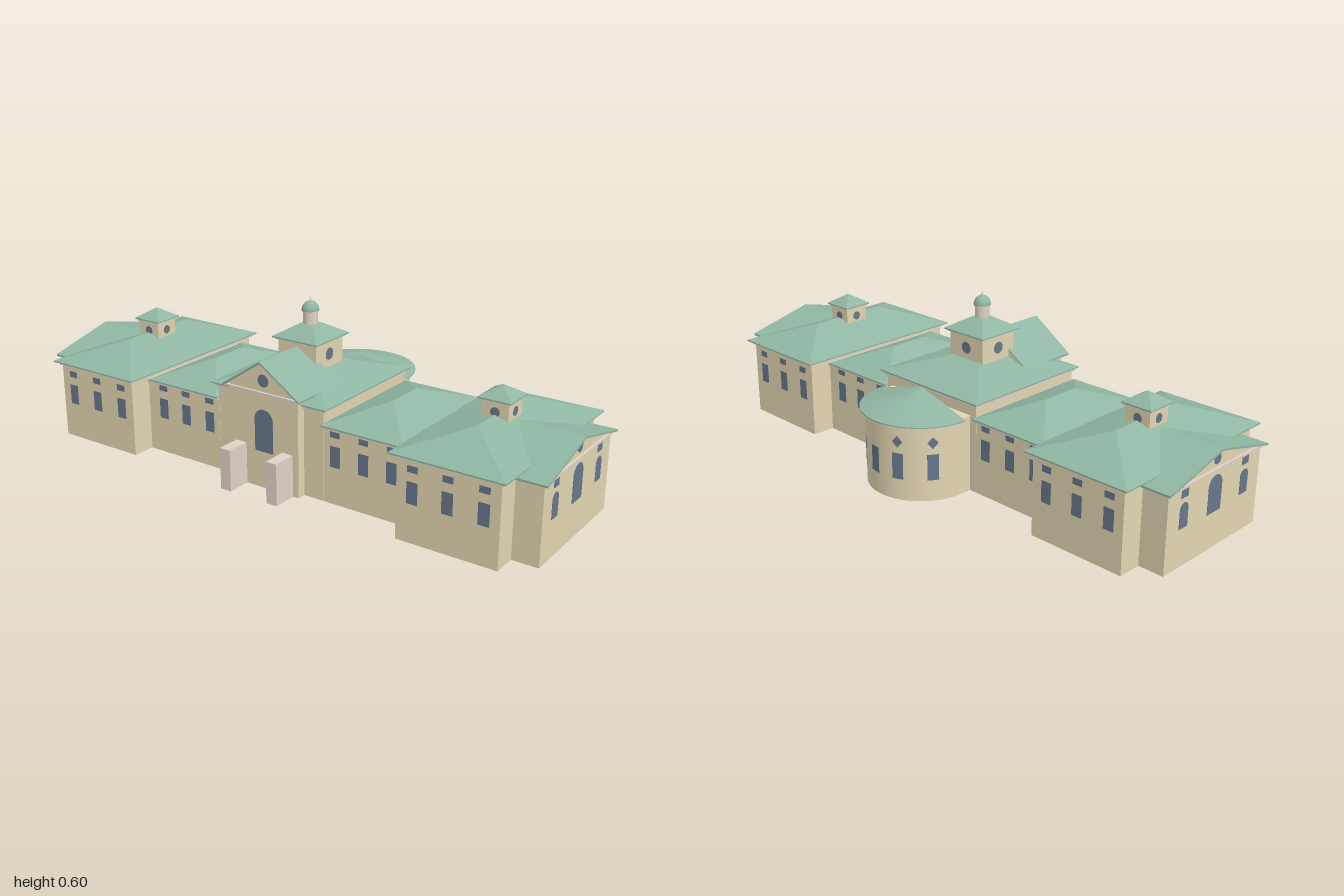
import * as THREE from 'three';

const mat = (name, color, side = THREE.FrontSide) => {
  const m = new THREE.MeshStandardMaterial({ color, side });
  m.name = name;
  return m;
};
const WALL = mat('sandstone wall', 0xe2d5b1, THREE.DoubleSide);
const STONE = mat('pale stone', 0xe1d2c6);
const ROOF = mat('green copper roof', 0x90b6a3, THREE.DoubleSide);
const GLASS = mat('blue grey glass', 0x67778c);

const CX = -0.065; // long axis of the building

function add(parent, name, geo, material, x = 0, y = 0, z = 0, ry = 0) {
  const m = new THREE.Mesh(geo, material);
  m.name = name;
  m.position.set(x, y, z);
  m.rotation.y = ry;
  parent.add(m);
  return m;
}

function group(parent, name, x = 0, z = 0, ry = 0) {
  const g = new THREE.Group();
  g.name = name;
  g.position.set(x, 0, z);
  g.rotation.y = ry;
  parent.add(g);
  return g;
}

// Box given by its limits
function box(p, name, x0, x1, y0, y1, z0, z1, m = STONE) {
  return add(p, name, new THREE.BoxGeometry(x1 - x0, y1 - y0, z1 - z0), m,
    (x0 + x1) / 2, (y0 + y1) / 2, (z0 + z1) / 2);
}

// Box geometry with some of its faces left out (2 = top, 3 = bottom)
function boxWithout(faces, w, h, d) {
  const g = new THREE.BoxGeometry(w, h, d);
  g.setIndex([...g.index.array].filter((_, i) => !faces.includes(Math.floor(i / 6))));
  g.clearGroups();
  return g;
}

// Four walls, open below and above
function walls(p, name, x0, x1, y0, y1, z0, z1) {
  add(p, name, boxWithout([2, 3], x1 - x0, y1 - y0, z1 - z0), WALL,
    (x0 + x1) / 2, (y0 + y1) / 2, (z0 + z1) / 2);
}

// Hipped roof: a thin eave slab and a box whose top shrinks to a ridge (half sizes hx, hz -> rx, rz)
function hipRoof(p, name, z, hx, hz, y0, y1, rx, rz = 0) {
  box(p, name + 'Eave', -hx, hx, y0 - 0.005, y0, z - hz, z + hz, ROOF);
  const g = boxWithout([3], 2, y1 - y0, 2).toNonIndexed();
  const a = g.attributes.position;
  for (let i = 0; i < a.count; i++) {
    const top = a.getY(i) > 0;
    a.setX(i, a.getX(i) * (top ? rx : hx));
    a.setZ(i, a.getZ(i) * (top ? rz : hz));
  }
  g.computeVertexNormals();
  add(p, name, g, ROOF, 0, (y0 + y1) / 2, z);
}

const poly = pts => new THREE.Shape(pts.map(([x, y]) => new THREE.Vector2(x, y)));
const extrude = (shape, depth) =>
  new THREE.ExtrudeGeometry(shape, { depth, bevelEnabled: false, curveSegments: 12 });

// Gabled block along z: open walls, a pediment body above ySplit and a folded roof shell
function gabled(p, name, { w, ySplit, corniceY, rw, eaveY, topY, zLow, zBody, zShell, zWall, zRoof }) {
  const t = 0.007;
  const shoulder = eaveY - t / 2 + (topY - eaveY) / rw * (rw - w);
  walls(p, name + 'Wall', -w, w, 0, ySplit, zLow, zWall);
  add(p, name + 'Pediment', extrude(poly([[-w, ySplit], [w, ySplit], [w, shoulder],
    [0, topY - t / 2], [-w, shoulder]]), zWall - zBody), WALL, 0, 0, zBody);
  add(p, name + 'Roof', extrude(poly([[-rw, eaveY - t], [0, topY - t], [rw, eaveY - t],
    [rw, eaveY], [0, topY], [-rw, eaveY]]), zRoof - zShell), ROOF, 0, 0, zShell);
  box(p, name + 'Cornice', -w - 0.01, w + 0.01, corniceY - 0.009, corniceY, zLow, zWall + 0.008);
}

// Thin window plates, facing local +z
const rect = (w, h) => poly([[-w / 2, 0], [w / 2, 0], [w / 2, h], [-w / 2, h]]);
const arch = (w, h) => {
  const s = new THREE.Shape();
  s.moveTo(-w / 2, 0);
  s.lineTo(w / 2, 0);
  s.lineTo(w / 2, h - w / 2);
  s.absarc(0, h - w / 2, w / 2, 0, Math.PI, false);
  return s;
};
const disc = r => new THREE.Shape().absarc(0, 0, r, 0, Math.PI * 2, false);
const diamond = r => poly([[0, -r], [r * 0.9, 0], [0, r], [-r * 0.9, 0]]);
const pane = (p, name, shape, x, y, z, ry = 0) => add(p, name, extrude(shape, 0.001), GLASS, x, y, z, ry);

// Rows of windows on both long sides of a block
function sideWindows(p, hx, zs) {
  for (const s of [-1, 1]) for (const z of zs) {
    pane(p, 'tallWindow', rect(0.038, 0.073), s * hx, 0.13, z, s * Math.PI / 2);
    pane(p, 'upperWindow', rect(0.036, 0.022), s * hx, 0.233, z, s * Math.PI / 2);
  }
}

// Square turret with a round window on each side
function turret(p, name, z, h, y0, y1, rh, top, topHalf, winY, winR) {
  walls(p, name + 'Base', -h, h, y0, y1, z - h, z + h);
  const c = h + 0.006;
  box(p, name + 'Cornice', -c, c, y1 - 0.006, y1 + 0.001, z - c, z + c);
  hipRoof(p, name + 'Roof', z, rh, rh, y1 + 0.006, top, topHalf, topHalf);
  for (let k = 0; k < 4; k++) {
    const a = k * Math.PI / 2;
    pane(p, name + 'Window', disc(winR), Math.sin(a) * h, winY, z + Math.cos(a) * h, a);
  }
}

// One arm of the building: connecting wing, end pavilion and gabled end bay
function buildArm(p, name, ry) {
  const g = group(p, name, CX, 0, ry);
  walls(g, 'wingWall', -0.24, 0.24, 0, 0.265, 0.219, 0.544);
  box(g, 'wingCornice', -0.247, 0.247, 0.256, 0.266, 0.219, 0.544);
  hipRoof(g, 'wingRoof', 0.371, 0.257, 0.155, 0.272, 0.332, 0.072);
  sideWindows(g, 0.24, [0.262, 0.37, 0.475]);

  walls(g, 'pavilionWall', -0.325, 0.325, 0, 0.28, 0.545, 0.893);
  box(g, 'pavilionCornice', -0.332, 0.332, 0.273, 0.283, 0.537, 0.901);
  hipRoof(g, 'pavilionRoof', 0.72, 0.347, 0.195, 0.289, 0.356, 0.153);
  sideWindows(g, 0.325, [0.6, 0.72, 0.84]);

  gabled(g, 'endBay', {
    w: 0.24, ySplit: 0.26, corniceY: 0.272, rw: 0.257, eaveY: 0.273, topY: 0.337,
    zLow: 0.893, zBody: 0.893, zShell: 0.75, zWall: 0.983, zRoof: 1,
  });
  pane(g, 'archWindow', arch(0.07, 0.124), 0, 0.123, 0.983);
  pane(g, 'gableWindow', disc(0.018), 0, 0.3, 0.983);
  for (const s of [-1, 1]) {
    pane(g, 'sideArchWindow', arch(0.042, 0.083), s * 0.158, 0.13, 0.983);
    pane(g, 'upperWindow', rect(0.035, 0.027), s * 0.158, 0.23, 0.983);
  }
  turret(g, 'cupola', 0.72, 0.046, 0.32, 0.4, 0.057, 0.442, 0, 0.364, 0.016);
}

export function createModel() {
  const root = new THREE.Group();
  root.name = 'building';
  buildArm(root, 'frontArm', 0);
  buildArm(root, 'backArm', Math.PI);

  // Central block
  const mid = group(root, 'centralBlock', CX);
  walls(mid, 'centralWall', -0.24, 0.24, 0, 0.315, -0.218, 0.218);
  box(mid, 'centralCornice', -0.248, 0.248, 0.308, 0.319, -0.226, 0.226);
  hipRoof(mid, 'centralRoof', 0, 0.257, 0.235, 0.325, 0.396, 0);

  // Gabled entrance on the model's right side
  const porch = group(root, 'entrance', CX, 0, -Math.PI / 2);
  gabled(porch, 'entrance', {
    w: 0.14, ySplit: 0.315, corniceY: 0.342, rw: 0.158, eaveY: 0.346, topY: 0.451,
    zLow: 0.24, zBody: 0.062, zShell: 0.062, zWall: 0.272, zRoof: 0.292,
  });
  pane(porch, 'entranceArchWindow', arch(0.075, 0.15), 0, 0.13, 0.272);
  pane(porch, 'entranceRoundWindow', disc(0.022), 0, 0.38, 0.272);
  for (const s of [-1, 1]) {
    box(porch, 'entrancePier', s * 0.096 - 0.021, s * 0.096 + 0.021, 0, 0.147, 0.272, 0.36);
  }

  // Central tower with round lantern, dome and finial
  const tower = group(root, 'tower', -0.075);
  turret(tower, 'tower', 0, 0.078, 0.34, 0.466, 0.093, 0.512, 0.026, 0.417, 0.021);
  add(tower, 'lantern', new THREE.CylinderGeometry(0.025, 0.025, 0.055, 24), STONE, 0, 0.53, 0);
  add(tower, 'lanternCornice', new THREE.CylinderGeometry(0.029, 0.029, 0.004, 24), STONE, 0, 0.555, 0);
  const dome = add(tower, 'dome', new THREE.SphereGeometry(0.03, 24, 8, 0, Math.PI * 2, 0, Math.PI / 2),
    ROOF, 0, 0.557, 0);
  dome.scale.y = 1.1;
  add(tower, 'finial', new THREE.CylinderGeometry(0.0015, 0.003, 0.016, 8), STONE, 0, 0.595, 0);

  // Half-round apse on the model's left side
  const apse = group(root, 'apse', 0.215);
  const half = (r0, r1, h, open = false) => new THREE.CylinderGeometry(r0, r1, h, 40, 1, open, 0, Math.PI);
  walls(apse, 'apseNeckWall', -0.04, 0, 0, 0.268, -0.19, 0.19);
  box(apse, 'apseNeckCap', -0.04, 0, 0.268, 0.272, -0.192, 0.192, WALL);
  add(apse, 'apseWall', half(0.19, 0.19, 0.266, true), WALL, 0, 0.133, 0);
  add(apse, 'apseCornice', half(0.197, 0.197, 0.009), STONE, 0, 0.264, 0);
  add(apse, 'apseEave', half(0.209, 0.209, 0.004), ROOF, 0, 0.27, 0);
  add(apse, 'apseRoof', half(0, 0.209, 0.06, true), ROOF, 0, 0.302, 0);
  for (const [deg, hasDiamond] of [[67, true], [37, false], [7.5, false], [-22, true], [-58, true]]) {
    const a = Math.PI / 2 - THREE.MathUtils.degToRad(deg);
    const x = Math.sin(a) * 0.1895, z = Math.cos(a) * 0.1895;
    pane(apse, 'apseWindow', rect(0.039, 0.092), x, 0.075, z, a);
    if (hasDiamond) pane(apse, 'diamondWindow', diamond(0.021), x, 0.208, z, a);
  }
  return root;
}
